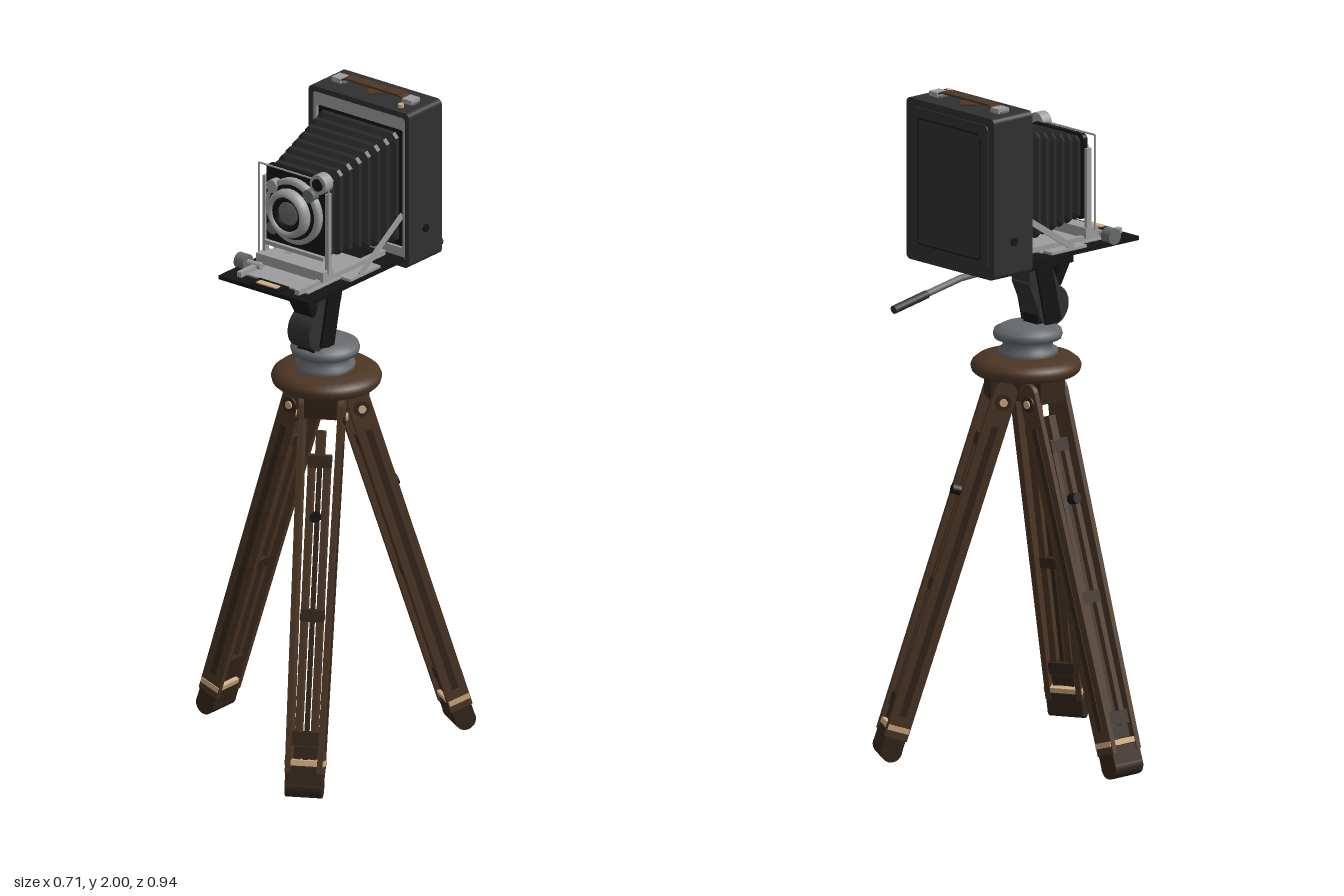
import * as THREE from 'three';

const mat = (name, color, side = THREE.FrontSide) => {
  const m = new THREE.MeshStandardMaterial({ color, side });
  m.name = name;
  return m;
};

export function createModel() {
  const root = new THREE.Group();
  root.name = 'fieldCameraOnTripod';
  const leather = mat('charcoalLeather', 0x303030);
  const black = mat('blackMetal', 0x141414);
  const bellowsMat = mat('bellowsCloth', 0x2b2b2c, THREE.DoubleSide);
  const silver = mat('silver', 0x9c9c9c);
  const steel = mat('greySteel', 0x666a6c);
  const wood = mat('wood', 0x4c3625);
  const darkWood = mat('darkWood', 0x35261b);
  const tan = mat('brass', 0xd0ab80);
  const CX = 0.088; // camera centre line

  const add = (parent, name, geo, material, x = 0, y = 0, z = 0) => {
    const m = new THREE.Mesh(geo, material);
    m.name = name;
    m.position.set(x, y, z);
    parent.add(m);
    return m;
  };
  const box = (p, name, material, w, h, d, x, y, z) =>
    add(p, name, new THREE.BoxGeometry(w, h, d), material, x, y, z);
  const cyl = (p, name, material, r, len, axis, x, y, z, seg = 24) => {
    const g = new THREE.CylinderGeometry(r, r, len, seg);
    if (axis === 'x') g.rotateZ(Math.PI / 2);
    if (axis === 'z') g.rotateX(Math.PI / 2);
    return add(p, name, g, material, x, y, z);
  };
  // Bar or rod running between two points
  const span = (p, name, material, a, b, w, d) => {
    const A = new THREE.Vector3(...a), B = new THREE.Vector3(...b);
    const dir = B.clone().sub(A), len = dir.length();
    const g = d ? new THREE.BoxGeometry(w, len, d) : new THREE.CylinderGeometry(w, w, len, 12);
    const m = add(p, name, g, material);
    m.position.copy(A).add(B).multiplyScalar(0.5);
    m.quaternion.setFromUnitVectors(new THREE.Vector3(0, 1, 0), dir.normalize());
    return m;
  };
  const roundRect = (w, h, r, C = THREE.Shape) => {
    const s = new C(), x = w / 2, y = h / 2;
    s.moveTo(-x + r, -y).lineTo(x - r, -y).absarc(x - r, -y + r, r, -Math.PI / 2, 0);
    s.lineTo(x, y - r).absarc(x - r, y - r, r, 0, Math.PI / 2);
    s.lineTo(-x + r, y).absarc(-x + r, y - r, r, Math.PI / 2, Math.PI);
    s.lineTo(-x, -y + r).absarc(-x + r, -y + r, r, Math.PI, Math.PI * 1.5);
    return s;
  };
  const panel = (p, name, material, w, h, r, depth, x, y, z, hole) => {
    const s = roundRect(w, h, r);
    if (hole) s.holes.push(roundRect(hole[0], hole[1], hole[2], THREE.Path));
    return add(p, name, new THREE.ExtrudeGeometry(s, { depth, bevelEnabled: false, curveSegments: 5 }), material, x, y, z);
  };

  // ---- Tripod ----
  const tripod = new THREE.Group();
  tripod.name = 'tripod';
  tripod.position.set(0.085, 0, 0.055);
  root.add(tripod);
  const lathe = (p, name, material, pts, seg = 40) =>
    add(p, name, new THREE.LatheGeometry(pts.map(q => new THREE.Vector2(...q)), seg), material);
  lathe(tripod, 'topDisc', wood, [[0, 1.138], [0.15, 1.138], [0.158, 1.145], [0.162, 1.16], [0.157, 1.172], [0.14, 1.185], [0.1, 1.192], [0, 1.192]]);
  cyl(tripod, 'hub', darkWood, 0.085, 0.075, 'y', 0, 1.104, 0, 6);
  for (const angle of [Math.PI, Math.PI / 3, -Math.PI / 3]) {
    const spoke = new THREE.Group();
    spoke.name = 'legMount';
    spoke.rotation.y = angle;
    tripod.add(spoke);
    box(spoke, 'hubBlock', darkWood, 0.1, 0.075, 0.096, 0.065, 1.103, 0);
    const leg = new THREE.Group();
    leg.name = 'leg';
    leg.position.set(0.413, 0.032, 0);
    leg.rotation.z = 0.309;
    spoke.add(leg);
    cyl(leg, 'footTip', darkWood, 0.032, 0.108, 'z', 0, 0, 0, 20);
    box(leg, 'foot', darkWood, 0.062, 0.06, 0.108, 0, 0.03, 0);
    box(leg, 'footBand', tan, 0.066, 0.016, 0.116, 0, 0.07, 0);
    for (const s of [-1, 1]) {
      span(leg, 'outerRail', wood, [0, 0.04, s * 0.047], [0, 1.11, s * 0.058], 0.07, 0.016);
      cyl(leg, 'railTop', wood, 0.035, 0.016, 'z', 0, 1.11, s * 0.058);
      cyl(leg, 'hingeWasher', darkWood, 0.024, 0.006, 'z', 0, 1.085, s * 0.068);
      cyl(leg, 'hingeBolt', tan, 0.012, 0.014, 'z', 0, 1.085, s * 0.069, 12);
      span(leg, 'innerRail', wood, [0, 0.08, s * 0.023], [0, 0.97, s * 0.023], 0.042, 0.018);
      box(leg, 'railGroove', darkWood, 0.02, 0.9, 0.004, 0, 0.56, s * 0.0605).rotation.x = s * 0.0103;
    }
    box(leg, 'centrePost', darkWood, 0.024, 0.98, 0.012, 0, 0.55, 0);
    box(leg, 'postTop', wood, 0.03, 0.1, 0.026, 0, 0.99, 0);
    for (const y of [0.1, 0.5, 0.95]) box(leg, 'innerBrace', darkWood, 0.046, 0.035, 0.066, 0, y, 0);
    box(leg, 'lockBlock', darkWood, 0.05, 0.04, 0.1, 0, 0.14, 0);
    cyl(leg, 'lockKnob', black, 0.016, 0.03, 'x', 0.036, 0.79, 0, 12);
  }

  // ---- Tilting head ----
  const head = new THREE.Group();
  head.name = 'tripodHead';
  root.add(head);
  lathe(head, 'panBase', steel, [[0, 1.185], [0.085, 1.185], [0.088, 1.205], [0.074, 1.21], [0.074, 1.235], [0.098, 1.24], [0.102, 1.252], [0.098, 1.265], [0.07, 1.28], [0, 1.28]])
    .position.set(CX, 0, 0.065);
  box(head, 'cameraPlate', black, 0.12, 0.03, 0.25, CX, 1.495, 0.09);
  box(head, 'plateClamp', black, 0.1, 0.03, 0.18, CX, 1.465, 0.11);
  span(head, 'tiltBody', leather, [CX, 1.43, 0.08], [CX, 1.33, 0.125], 0.075, 0.1);
  for (const [y, z, r] of [[1.43, 0.08, 0.045], [1.33, 0.13, 0.06]])
    cyl(head, 'tiltPivot', leather, r, 0.08, 'x', CX, y, z);
  box(head, 'neck', black, 0.06, 0.06, 0.08, CX, 1.29, 0.115);
  for (const s of [-1, 1])
    span(head, 'tiltCheek', black, [CX + s * 0.05, 1.46, 0.08], [CX + s * 0.05, 1.28, 0.12], 0.008, 0.06);
  span(head, 'sideBrace', black, [CX, 1.46, 0.19], [CX, 1.39, 0.15], 0.07, 0.03);
  span(head, 'panRod', steel, [CX, 1.468, 0.0], [CX, 1.462, -0.2], 0.01);
  span(head, 'panRodBend', steel, [CX, 1.462, -0.2], [CX, 1.437, -0.34], 0.01);
  span(head, 'panGrip', leather, [CX, 1.437, -0.335], [CX, 1.413, -0.466], 0.0125);

  // ---- Camera body ----
  const cam = new THREE.Group();
  cam.name = 'camera';
  root.add(cam);
  const BY = 1.737;
  panel(cam, 'bodyShell', leather, 0.376, 0.485, 0.016, 0.13, CX, BY, -0.22, [0.346, 0.452, 0.012]);
  panel(cam, 'bodyBack', leather, 0.376, 0.485, 0.016, 0.022, CX, BY, -0.242);
  panel(cam, 'backPanel', leather, 0.33, 0.44, 0.02, 0.004, CX, BY, -0.246);
  panel(cam, 'backPanelGroove', black, 0.27, 0.38, 0.015, 0.002, CX, BY, -0.247, [0.262, 0.372, 0.012]);
  panel(cam, 'frontLining', silver, 0.346, 0.452, 0.012, 0.01, CX, BY, -0.104, [0.322, 0.37, 0.008]);
  panel(cam, 'innerWall', black, 0.34, 0.45, 0.01, 0.005, CX, BY, -0.112);
  for (const s of [-1, 1]) {
    cyl(cam, 'sideStud', black, 0.012, 0.008, 'x', CX + s * 0.19, 1.6, -0.165, 16);
    box(cam, 'handleBuckle', silver, 0.035, 0.014, 0.04, CX + s * 0.132, 1.987, -0.168);
    box(cam, 'buckleBase', steel, 0.045, 0.006, 0.03, CX + s * 0.13, 1.982, -0.168);
    span(cam, 'handleEnd', wood, [CX + s * 0.125, 1.988, -0.168], [CX + s * 0.095, 1.997, -0.168], 0.005, 0.034);
  }
  box(cam, 'carryHandle', wood, 0.2, 0.006, 0.034, CX, 1.997, -0.168);
  box(cam, 'handleDiamond', wood, 0.05, 0.005, 0.05, CX, 1.982, -0.168).rotation.y = Math.PI / 4;
  cyl(cam, 'topButton', tan, 0.009, 0.012, 'y', 0.22, 1.984, -0.122, 12);

  // ---- Bellows: chamfered rectangles lofted with pleats ----
  const pleats = 8, verts = [], idx = [];
  for (let i = 0; i <= pleats * 3; i++) {
    const t = i / (pleats * 3), inset = i % 3 === 0 ? 0.016 : 0;
    const w = 0.15 - 0.043 * t - inset, top = 1.915 - 0.075 * t - inset, bot = 1.565 + 0.03 * t + inset;
    const c = 0.014, z = -0.105 + 0.29 * t;
    for (const [x, y] of [[-w + c, bot], [w - c, bot], [w, bot + c], [w, top - c], [w - c, top], [-w + c, top], [-w, top - c], [-w, bot + c]])
      verts.push(CX + x, y, z);
    if (i) for (let k = 0; k < 8; k++) {
      const a = (i - 1) * 8 + k, b = (i - 1) * 8 + (k + 1) % 8;
      idx.push(a, b, b + 8, a, b + 8, a + 8);
    }
  }
  const bg = new THREE.BufferGeometry();
  bg.setAttribute('position', new THREE.Float32BufferAttribute(verts, 3));
  bg.setIndex(idx);
  const flat = bg.toNonIndexed();
  flat.computeVertexNormals();
  add(cam, 'bellows', flat, bellowsMat);

  // ---- Folding bed, rails and struts ----
  box(cam, 'bed', black, 0.336, 0.012, 0.445, CX, 1.518, 0.128);
  box(cam, 'bedPlate', silver, 0.25, 0.006, 0.3, CX, 1.526, 0.15);
  box(cam, 'focusScale', black, 0.11, 0.006, 0.045, CX, 1.527, 0.322);
  box(cam, 'scaleMarks', tan, 0.075, 0.003, 0.022, CX, 1.532, 0.328);
  for (const s of [-1, 1]) {
    box(cam, 'bedRail', silver, 0.016, 0.016, 0.4, CX + s * 0.108, 1.535, 0.13);
    box(cam, 'strutFoot', silver, 0.035, 0.008, 0.14, CX + s * 0.145, 1.528, 0.08);
    span(cam, 'bedStrut', silver, [CX + s * 0.158, 1.53, 0.1], [CX + s * 0.158, 1.655, -0.095], 0.006, 0.018);
  }
  cyl(cam, 'focusKnob', steel, 0.024, 0.035, 'x', -0.068, 1.54, 0.25, 20);
  cyl(cam, 'focusAxle', silver, 0.01, 0.06, 'x', -0.03, 1.54, 0.25, 12);

  // ---- Front standard, shutter and lens ----
  const LY = 1.725;
  box(cam, 'standardBase', silver, 0.25, 0.03, 0.05, CX, 1.553, 0.205);
  panel(cam, 'lensBoard', black, 0.222, 0.255, 0.015, 0.016, CX, 1.718, 0.183);
  for (const s of [-1, 1]) {
    box(cam, 'standardUpright', silver, 0.01, 0.25, 0.018, CX + s * 0.117, 1.68, 0.195);
    span(cam, 'frameFinderSide', silver, [CX + s * 0.13, 1.56, 0.21], [CX + s * 0.13, 1.845, 0.21], 0.003);
  }
  span(cam, 'frameFinderTop', silver, [CX - 0.13, 1.845, 0.21], [CX + 0.13, 1.845, 0.21], 0.003);
  box(cam, 'standardCrossbar', silver, 0.22, 0.012, 0.012, CX, 1.6, 0.205);
  const lensPart = (name, material, pts) => {
    const m = lathe(cam, name, material, pts, 36);
    m.rotation.x = Math.PI / 2;
    m.position.set(CX, LY, 0);
  };
  lensPart('shutterHousing', silver, [[0.1, 0.195], [0.102, 0.215], [0.095, 0.222], [0.084, 0.222]]);
  lensPart('shutterFace', black, [[0.086, 0.221], [0.084, 0.224], [0.07, 0.224]]);
  lensPart('lensRing', silver, [[0.074, 0.22], [0.074, 0.24], [0.066, 0.252], [0.056, 0.254], [0.052, 0.244]]);
  lensPart('lensBarrel', black, [[0.054, 0.245], [0.045, 0.246], [0.036, 0.236]]);
  lensPart('lensGlass', steel, [[0.038, 0.235], [0.025, 0.241], [0, 0.244]]);
  for (let i = 0; i < 3; i++) {
    const a = [0.8, 2.4, 3.9][i];
    cyl(cam, 'shutterDial', i === 1 ? silver : steel, 0.02, 0.03, 'z', CX + 0.095 * Math.cos(a), LY + 0.095 * Math.sin(a), 0.212, 16);
  }
  cyl(cam, 'viewFinder', silver, 0.03, 0.035, 'z', 0.193, 1.84, 0.212);
  cyl(cam, 'viewFinderGlass', black, 0.019, 0.004, 'z', 0.193, 1.84, 0.231);
  return root;
}
